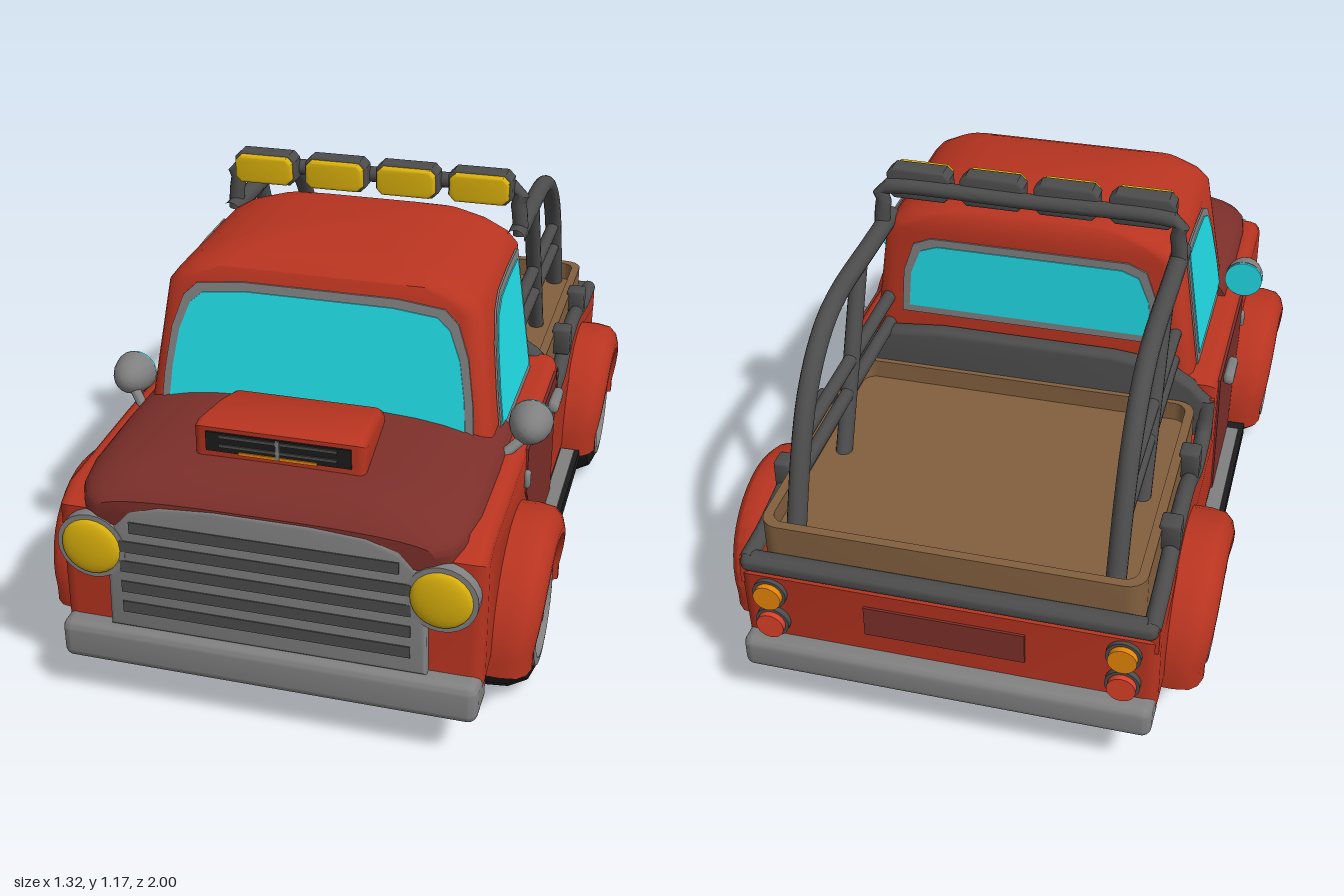
import * as THREE from 'three';
import { toCreasedNormals } from 'three/addons/utils/BufferGeometryUtils.js';
import { RoundedBoxGeometry } from 'three/addons/geometries/RoundedBoxGeometry.js';

const V = p => new THREE.Vector3(...p);
const paint = (name, color) => Object.assign(new THREE.MeshStandardMaterial({ color }), { name });

// Closed rings joined in order, with a fan over each end
function loft(rings) {
  const n = rings[0].length, pos = [], idx = [];
  rings.forEach(r => r.forEach(p => pos.push(...p)));
  for (let i = 0; i < rings.length - 1; i++) for (let j = 0; j < n; j++) {
    const k = (j + 1) % n, a = i * n + j, b = i * n + k;
    idx.push(a, b, b + n, a, b + n, a + n);
  }
  const top = (rings.length - 1) * n;
  for (let j = 1; j < n - 1; j++) idx.push(top, top + j, top + j + 1, 0, j + 1, j);
  const g = new THREE.BufferGeometry();
  g.setAttribute('position', new THREE.Float32BufferAttribute(pos, 3));
  return g.setIndex(idx);
}

const shapeOf = pts => new THREE.Shape(pts.map(p => new THREE.Vector2(...p)));

// Outline in x, y pushed along +z from z0 to z1
function prism(pts, z0, z1, b = 0) {
  return new THREE.ExtrudeGeometry(shapeOf(pts), {
    depth: z1 - z0 - 2 * b, bevelEnabled: b > 0, bevelThickness: b, bevelSize: b, bevelOffset: -b, bevelSegments: 3,
  }).translate(0, 0, z0 + b);
}

// Outline in z, y pushed along +x
const sidePrism = (pts, x0, x1, b) => prism(pts.map(([z, y]) => [-z, y]), x0, x1, b).rotateY(Math.PI / 2);

const arch = (zc, r, yc = 0.215, n = 16) =>
  Array.from({ length: n + 1 }, (_, i) => [zc + r * Math.cos(i * Math.PI / n), yc + r * Math.sin(i * Math.PI / n)]);

const tube = (pts, r) => new THREE.TubeGeometry(new THREE.CatmullRomCurve3(pts.map(V), false, 'catmullrom', 0.5), 36, r, 14);

// Straight round bar between two points
function bar(a, b, r) {
  const dir = V(b).sub(V(a)), g = new THREE.CylinderGeometry(r, r, dir.length(), 14);
  g.applyQuaternion(new THREE.Quaternion().setFromUnitVectors(V([0, 1, 0]), dir.clone().normalize()));
  return g.translate(...V(a).add(V(b)).multiplyScalar(0.5).toArray());
}

const box = (w, h, d, x, y, z, r = 0) =>
  (r ? new RoundedBoxGeometry(w, h, d, 3, r) : new THREE.BoxGeometry(w, h, d)).translate(x, y, z);

const discZ = (r, x, y, z0, z1) =>
  new THREE.CylinderGeometry(r, r, z1 - z0, 24).rotateX(Math.PI / 2).translate(x, y, (z0 + z1) / 2);

const latheX = pts => new THREE.LatheGeometry(pts.map(p => new THREE.Vector2(...p)), 28).rotateZ(-Math.PI / 2);

// Enlarge an outline around its middle
function grow(pts, m) {
  const mid = [0, 1].map(k => { const v = pts.map(p => p[k]); return [(Math.max(...v) + Math.min(...v)) / 2, (Math.max(...v) - Math.min(...v)) / 2]; });
  return pts.map(p => p.map((v, k) => mid[k][0] + (v - mid[k][0]) * (1 + m / mid[k][1])));
}

// Move every vertex by a rule
function bend(g, rule) {
  const p = g.attributes.position;
  for (let i = 0; i < p.count; i++) p.setXYZ(i, ...rule(p.getX(i), p.getY(i), p.getZ(i)));
  return g;
}

function mirrored(geo) {
  const g = geo.index ? geo.toNonIndexed() : geo.clone();
  const p = g.attributes.position;
  for (let i = 0; i < p.count; i += 3) {
    const t = [0, 2, 1].map(k => [-p.getX(i + k), p.getY(i + k), p.getZ(i + k)]);
    t.forEach((c, k) => p.setXYZ(i + k, ...c));
  }
  return g;
}

export function createModel() {
  const root = new THREE.Group();
  root.name = 'pickupTruck';
  const red = paint('red paint', 0xb83420), maroon = paint('maroon paint', 0x7c2f2a);
  const grey = paint('grey metal', 0x808080), dark = paint('dark grey metal', 0x4c4c4c);
  const black = paint('black rubber', 0x1c1c1c), yellow = paint('yellow lamp', 0xdab00c);
  const glass = paint('cyan glass', 0x22e0ea), brown = paint('brown liner', 0x83603f);
  const orange = paint('orange lamp', 0xee8a08), lampRed = paint('red lamp', 0xdb4029);
  const add = (name, geo, mat, crease = 0.6) => {
    const m = new THREE.Mesh(toCreasedNormals(geo, crease), mat);
    m.name = name;
    root.add(m);
  };
  const pair = (name, geo, mat) => { add(name + 'Left', geo, mat); add(name + 'Right', mirrored(geo), mat); };

  // Lower body with wheel arches
  add('lowerBody', sidePrism([[0.95, 0.18], ...arch(0.59, 0.23), [0.36, 0.18], [-0.33, 0.18], ...arch(-0.56, 0.23), [-0.79, 0.18],
    [-0.95, 0.18], [-0.96, 0.44], [-0.1, 0.44], [-0.1, 0.61], [0.5, 0.61], [0.88, 0.6], [0.95, 0.56]], -0.545, 0.545, 0.035), red);
  add('innerFloor', box(0.76, 0.28, 1.84, 0, 0.315, 0), maroon);

  // Bonnet
  add('bonnet', loft([[0.38, 0.505, 0.71], [0.6, 0.508, 0.702], [0.8, 0.505, 0.692], [0.9, 0.49, 0.677], [0.95, 0.465, 0.655], [0.975, 0.425, 0.622]]
    .map(([z, hw, top]) => Array.from({ length: 32 }, (_, i) => {
      const a = i * Math.PI / 16, c = Math.cos(a), s = Math.sin(a);
      return [hw * Math.sign(c) * Math.abs(c) ** 0.65, s < -1e-6 ? 0.54 : 0.58 + (top - 0.58) * Math.abs(s) ** 0.8, z];
    }))), maroon);
  add('scoop', bend(sidePrism([[0.83, 0.66], [0.83, 0.765], [0.8, 0.777], [0.68, 0.765], [0.59, 0.745], [0.56, 0.725], [0.55, 0.66]], -0.22, 0.22, 0.022),
    (x, y, z) => [x * (1 - 0.35 * (0.83 - z)), y, z]), red);
  add('scoopOpening', box(0.37, 0.052, 0.006, 0, 0.728, 0.832), black);
  add('scoopStrip', box(0.2, 0.008, 0.008, 0, 0.704, 0.834), orange);
  for (const y of [0.72, 0.745]) add('scoopBar', box(0.3, 0.008, 0.009, 0, y, 0.834), dark);
  add('scoopPost', box(0.01, 0.05, 0.009, 0, 0.728, 0.835), grey);

  // Cab built from rounded rectangles stacked upwards
  const front = y => 0.535 - (y - 0.62) * 0.167, side = y => 0.47 - (y - 0.62) * 0.14;
  const ring = ([y, hw, zf, zb, r]) => {
    const out = [];
    for (let q = 0; q < 4; q++) for (let i = 0; i <= 5; i++) {
      const a = (q + i / 5) * Math.PI / 2, sx = q === 0 || q === 3 ? 1 : -1, back = q < 2;
      out.push([sx * (hw - r) + r * Math.cos(a), y, (back ? zb + r : zf - r) - r * Math.sin(a)]);
    }
    return out;
  };
  add('cab', loft([[0.5, 0.49, front(0.5), -0.08, 0.05], [0.62, 0.47, front(0.62), -0.08, 0.05], [0.97, side(0.97), front(0.97), -0.08, 0.05],
    [1.0, 0.398, 0.471, -0.08, 0.06], [1.03, 0.352, 0.46, -0.078, 0.08], [1.052, 0.285, 0.41, -0.068, 0.08],
    [1.068, 0.2, 0.31, -0.03, 0.07], [1.078, 0.09, 0.23, 0.09, 0.05]].map(ring)), red, 0.75);

  // Windows: a grey trim plate under a smaller glass plate
  const half = [[0.41, 0.665], [0.403, 0.75], [0.385, 0.86], [0.355, 0.94], [0.32, 0.972], [0.2, 0.985]];
  const screen = [...half.map(([x, y]) => [-x, y]), ...half.slice().reverse()].reverse();
  const door = [[0.42, 0.625], [0.405, 0.73], [0.37, 0.85], [0.33, 0.92], [0.27, 0.95], [0.15, 0.96], [0.02, 0.963], [0.01, 0.953], [0.01, 0.625]];
  const rear = [[-0.36, 0.73], [0.36, 0.73], [0.35, 0.85], [0.32, 0.93], [0.27, 0.95], [-0.27, 0.95], [-0.32, 0.93], [-0.35, 0.85]];
  for (const [part, m, d, mat] of [['Trim', 0.013, 0.005, grey], ['Glass', -0.01, 0.008, glass]]) {
    add('windscreen' + part, bend(prism(grow(screen, m), 0, d), (x, y, z) => [x, y, z + front(y) + 0.002]), mat);
    pair('doorWindow' + part, bend(sidePrism(grow(door, m), 0, d), (x, y, z) => [x + side(y) + 0.002, y, z]), mat);
    add('rearWindow' + part, prism(grow(rear, m), 0, d).rotateY(Math.PI).translate(0, 0, -0.081), mat);
  }

  // Doors, handles, hinges and running boards
  pair('door', sidePrism([[-0.04, 0.2], [0.29, 0.2], [0.33, 0.34], [0.43, 0.46], [0.43, 0.59], [-0.04, 0.59]], 0.542, 0.55), maroon);
  pair('doorHandle', box(0.03, 0.034, 0.11, 0.565, 0.555, 0.07, 0.012), grey);
  pair('doorHinge', box(0.02, 0.05, 0.025, 0.55, 0.505, 0.435, 0.009), grey);
  pair('runningBoard', box(0.24, 0.04, 0.64, 0.48, 0.175, -0.01), black);
  pair('runningBoardTop', box(0.042, 0.008, 0.56, 0.565, 0.198, -0.01), grey);

  // Wheels, with each fender swept over the wheel as a rounded section
  const fenderSection = [[0.27, 0.48], [0.271, 0.59], [0.264, 0.63], [0.245, 0.65], [0.215, 0.66], [0.198, 0.66], [0.192, 0.65], [0.192, 0.48]];
  for (const [z, fz] of [[0.59, 0.583], [-0.56, -0.568]]) {
    const hoop = Array.from({ length: 21 }, (_, i) => [Math.cos(i * Math.PI / 20), Math.sin(i * Math.PI / 20), 0.215]);
    pair('fender', loft([[1, 0, 0.175], ...hoop, [-1, 0, 0.175]].map(([c, s, y]) =>
      fenderSection.map(([r, x]) => [x - 0.02 * (1 - s) ** 2, y + r * s, fz + r * c]))), red);
    pair('tyre', latheX([[0, 0.4], [0.14, 0.39], [0.185, 0.405], [0.208, 0.45], [0.213, 0.51], [0.208, 0.57], [0.185, 0.615], [0.15, 0.63], [0.135, 0.6], [0, 0.595]])
      .translate(0, 0.213, z), black);
    pair('rim', latheX([[0.145, 0.6], [0.145, 0.634], [0.125, 0.636], [0.115, 0.61]]).translate(0, 0.213, z), grey);
    pair('rimDish', latheX([[0.12, 0.6], [0.12, 0.608], [0, 0.608]]).translate(0, 0.213, z), dark);
    pair('hub', latheX([[0.095, 0.605], [0.088, 0.622], [0.03, 0.624], [0.02, 0.632], [0, 0.632]]).translate(0, 0.213, z), grey);
    for (let i = 0; i < 5; i++) {
      const a = Math.PI / 2 + i * Math.PI * 0.4;
      pair('wheelNut', new THREE.CylinderGeometry(0.015, 0.015, 0.01, 10).rotateZ(Math.PI / 2)
        .translate(0.624, 0.213 + 0.055 * Math.sin(a), z + 0.055 * Math.cos(a)), dark);
    }
    add('axle', bar([-0.4, 0.19, z], [0.4, 0.19, z], 0.03), black);
  }

  // Chassis
  pair('chassisRail', box(0.08, 0.1, 0.84, 0.27, 0.135, 0), black);
  add('driveShaft', bar([0, 0.16, 0.5], [0, 0.16, -0.56], 0.035), black);
  add('engineSump', box(0.34, 0.12, 0.4, 0, 0.135, 0.42, 0.03), black);
  add('frontCrossMember', box(0.62, 0.06, 0.1, 0, 0.115, 0.6), black);
  add('differential', new THREE.SphereGeometry(0.08, 14, 10).translate(0, 0.18, -0.56), black);
  add('exhaust', tube([[-0.28, 0.15, 0.1], [-0.28, 0.15, -0.6], [-0.28, 0.115, -0.84]], 0.035), black);

  // Grille
  const g = [[0.41, 0.24], [0.405, 0.46], [0.385, 0.535], [0.34, 0.585], [0.26, 0.61], [0.12, 0.62]];
  add('grille', prism([...g, ...g.slice().reverse().map(([x, y]) => [-x, y])], 0.93, 0.978, 0.012), grey);
  [0.54, 0.483, 0.425, 0.365, 0.305].forEach((y, i) => add('grilleSlot', box(i ? 0.74 : 0.68, 0.032, 0.008, 0, y, 0.977), dark));

  // Bumpers and lamps
  add('frontBumper', box(1.08, 0.11, 0.13, 0, 0.185, 0.935, 0.025), grey);
  add('rearBumper', box(1.08, 0.095, 0.12, 0, 0.195, -0.94, 0.025), grey);
  pair('headlampRing', discZ(0.09, 0.444, 0.47, 0.9, 0.98), grey);
  pair('headlamp', new THREE.SphereGeometry(0.077, 24, 8, 0, Math.PI * 2, 0, Math.PI / 2).scale(1, 0.24, 1)
    .rotateX(Math.PI / 2).translate(0.444, 0.47, 0.981), yellow);
  for (const [y, mat, name] of [[0.39, orange, 'rearIndicator'], [0.295, lampRed, 'tailLamp']]) {
    pair(name + 'Ring', discZ(0.045, 0.46, y, -0.972, -0.94), dark);
    pair(name, discZ(0.037, 0.46, y, -0.988, -0.95), mat);
  }
  add('tailPanel', box(0.42, 0.09, 0.008, 0, 0.35, -0.961), maroon);

  // Door mirrors
  pair('mirrorShell', new THREE.SphereGeometry(0.058, 18, 8, 0, Math.PI * 2, 0, Math.PI / 2).scale(1, 1.5, 1)
    .rotateX(Math.PI / 2).translate(0.55, 0.665, 0.405), grey);
  pair('mirrorGlass', discZ(0.056, 0.55, 0.665, 0.398, 0.406), glass);
  pair('mirrorStem', bar([0.555, 0.65, 0.44], [0.47, 0.585, 0.52], 0.014), grey);

  // Bed sides, top rail, bulkhead and liner
  const rail = [[-0.11, 0.57], [-0.125, 0.49], [-0.17, 0.46], [-0.28, 0.455], [-0.35, 0.48], [-0.44, 0.515], [-0.58, 0.52], [-0.7, 0.495], [-0.82, 0.475], [-0.945, 0.47]];
  pair('bedSide', sidePrism([[-0.1, 0.4], [-0.1, 0.57], ...rail, [-0.95, 0.4]], 0.5, 0.543), red);
  pair('bedRail', tube(rail.map(([z, y]) => [0.522, y, z]), 0.023), dark);
  add('tailRail', box(1.08, 0.05, 0.055, 0, 0.465, -0.935, 0.022), dark);
  add('bulkhead', prism([[-0.54, 0.45], [0.54, 0.45], [0.54, 0.56], [0.48, 0.62], [0.4, 0.67], [0.25, 0.685], [-0.25, 0.685], [-0.4, 0.67], [-0.48, 0.62], [-0.54, 0.56]], -0.132, -0.08, 0.015), dark);
  const linerRing = (hw, z0, z1, r) => ring([0, hw, z1, z0, r]).map(([x, , z]) => [x, -z]);
  const liner = shapeOf(linerRing(0.497, -0.915, -0.135, 0.05));
  liner.holes.push(new THREE.Path(linerRing(0.472, -0.89, -0.15, 0.035).map(p => new THREE.Vector2(...p))));
  add('linerWalls', new THREE.ExtrudeGeometry(liner, { depth: 0.13, bevelEnabled: false }).rotateX(-Math.PI / 2).translate(0, 0.44, 0), brown);
  add('linerFloor', box(0.96, 0.06, 0.75, 0, 0.485, -0.522), brown);
  for (const z of [-0.36, -0.66]) pair('linerClamp', box(0.055, 0.085, 0.055, 0.517, 0.543, z, 0.008), dark);

  // Roll cage
  pair('rollBar', tube([[0.415, 0.99, -0.02], [0.415, 0.99, -0.2], [0.415, 0.99, -0.44], [0.415, 0.955, -0.58], [0.415, 0.86, -0.7], [0.415, 0.72, -0.785], [0.415, 0.5, -0.87]], 0.026), dark);
  pair('cageBrace', bar([0.415, 0.98, -0.295], [0.415, 0.5, -0.51], 0.023), dark);
  pair('cageUpperRail', bar([0.415, 0.75, -0.07], [0.415, 0.75, -0.77], 0.019), dark);
  pair('cageLowerRail', bar([0.415, 0.665, -0.07], [0.415, 0.665, -0.81], 0.019), dark);

  // Roof light bar
  add('lightBar', tube([[-0.42, 0.98, -0.085], [-0.41, 1.07, -0.085], [-0.38, 1.118, -0.085], [0, 1.118, -0.085], [0.38, 1.118, -0.085], [0.41, 1.07, -0.085], [0.42, 0.98, -0.085]], 0.022), dark);
  const lamp = (x, w, h, c) => [[w, -h + c], [w, h - c], [w - c, h], [c - w, h], [-w, h - c], [-w, c - h], [c - w, -h], [w - c, -h]].map(([a, b]) => [a + x, b + 1.125]);
  for (const x of [-0.31, -0.103, 0.103, 0.31]) {
    add('roofLampHousing', prism(lamp(x, 0.09, 0.046, 0.018), -0.085, -0.03, 0.008), dark);
    add('roofLampLens', prism(lamp(x, 0.083, 0.04, 0.016), -0.035, -0.01, 0.008), yellow);
  }
  return root;
}
